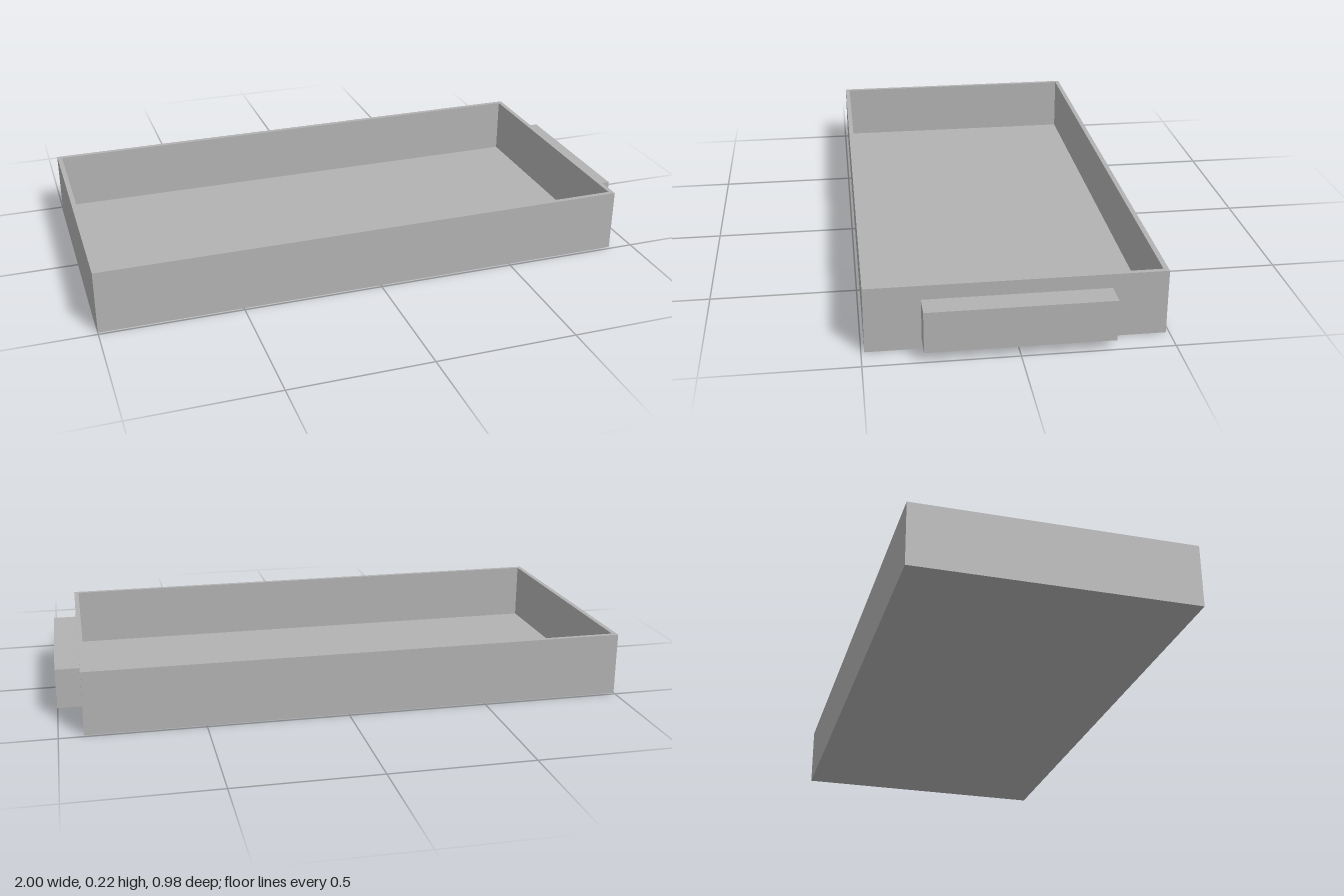
import * as THREE from 'three';

const LEFT = -1, RIGHT = 0.915, HALF_DEPTH = 0.489, HEIGHT = 0.225, WALL = 0.017;

// Rectangular outline of the tray, moved inwards by inset
function outline(PathType, inset) {
  const x0 = LEFT + inset, x1 = RIGHT - inset, d = HALF_DEPTH - inset;
  const path = new PathType();
  path.moveTo(x0, -d);
  path.lineTo(x1, -d);
  path.lineTo(x1, d);
  path.lineTo(x0, d);
  path.closePath();
  return path;
}

export function createModel() {
  const model = new THREE.Group();
  model.name = 'drawer';
  const grey = new THREE.MeshStandardMaterial({ color: 0xb2b2b2 });
  grey.name = 'grey';

  const add = (name, geometry, x = 0, y = 0, z = 0) => {
    const mesh = new THREE.Mesh(geometry, grey);
    mesh.name = name;
    mesh.position.set(x, y, z);
    model.add(mesh);
  };

  // Thin walls all the way round
  const ring = outline(THREE.Shape, 0);
  ring.holes.push(outline(THREE.Path, WALL));
  const walls = new THREE.ExtrudeGeometry(ring, { depth: HEIGHT, bevelEnabled: false });
  walls.rotateX(-Math.PI / 2);
  add('walls', walls);

  // Floor panel set between the walls
  add('floor',
    new THREE.BoxGeometry(RIGHT - LEFT - 2 * WALL, WALL, 2 * (HALF_DEPTH - WALL)),
    (LEFT + RIGHT) / 2, WALL / 2);

  // Block handle on the end wall
  add('handle', new THREE.BoxGeometry(1 - RIGHT, 0.142, 0.613), (1 + RIGHT) / 2, 0.105);

  return model;
}
